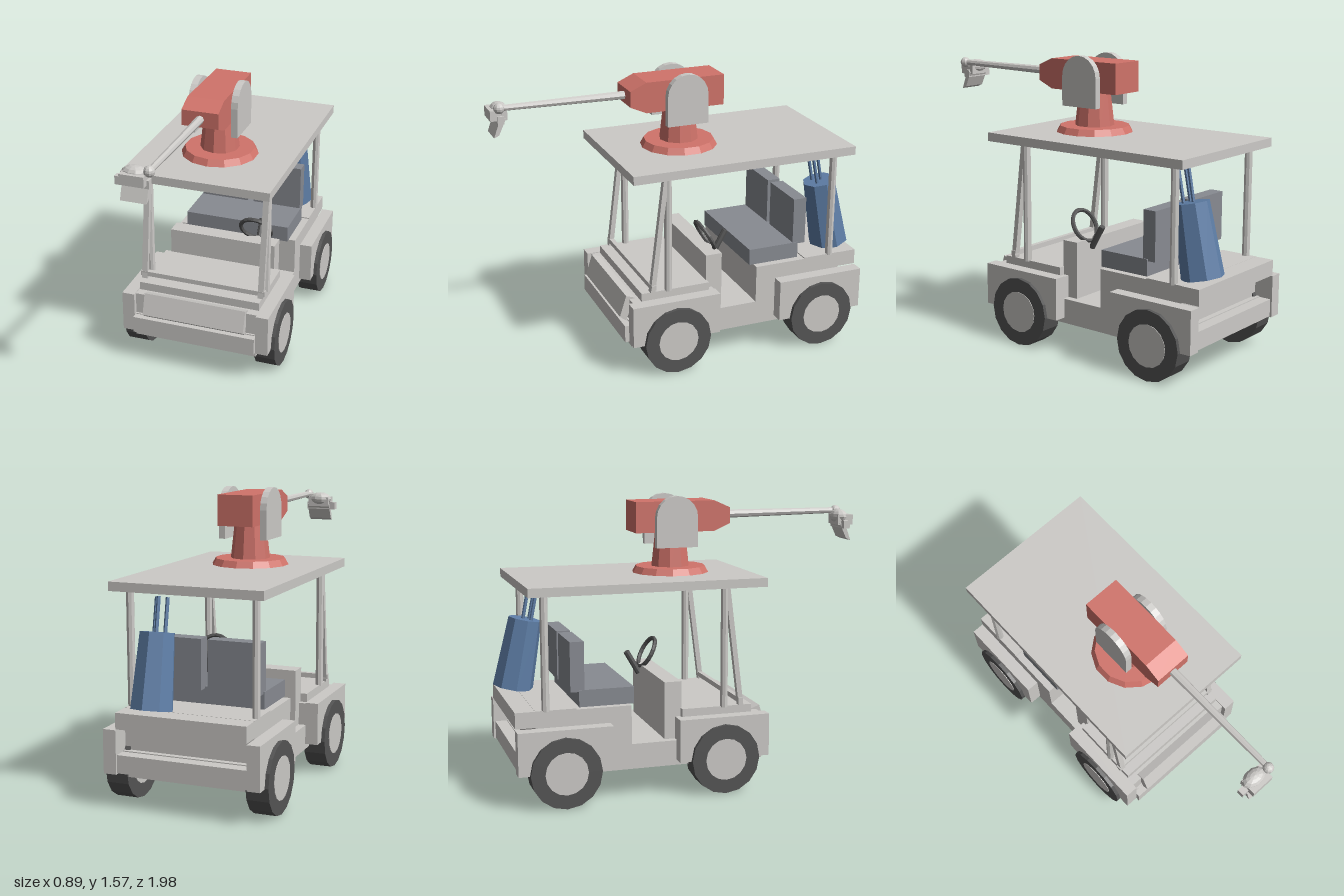
import * as THREE from 'three';

const paint = (name, color) => {
  const m = new THREE.MeshStandardMaterial({ color, flatShading: true });
  m.name = name;
  return m;
};

export function createModel() {
  const root = new THREE.Group();
  root.name = 'utilityCart';
  const body = paint('bodyGrey', 0xcccac7);
  const red = paint('turretRed', 0xd0736a);
  const blue = paint('tankBlue', 0x5f7fa8);
  const tyre = paint('tyreDark', 0x555555);
  const seat = paint('seatGrey', 0x888b92);

  const add = (name, geo, mat) => {
    const m = new THREE.Mesh(geo, mat);
    m.name = name;
    root.add(m);
    return m;
  };
  // Box given by its limits on each axis
  const box = (name, mat, x0, x1, y0, y1, z0, z1) => {
    const m = add(name, new THREE.BoxGeometry(x1 - x0, y1 - y0, z1 - z0), mat);
    m.position.set((x0 + x1) / 2, (y0 + y1) / 2, (z0 + z1) / 2);
    return m;
  };
  // Round bar between two points
  const rod = (name, mat, a, b, r0, r1 = r0, sides = 8) => {
    const p = new THREE.Vector3(...a), q = new THREE.Vector3(...b);
    const m = add(name, new THREE.CylinderGeometry(r1, r0, p.distanceTo(q), sides), mat);
    m.position.copy(p).add(q).multiplyScalar(0.5);
    m.quaternion.setFromUnitVectors(new THREE.Vector3(0, 1, 0), q.sub(p).normalize());
    return m;
  };
  // Side outline of [z, y] points extruded across x
  const slab = (name, mat, pts, x0, x1) => {
    const shape = new THREE.Shape(pts.map(([z, y]) => new THREE.Vector2(-z, y)));
    const geo = new THREE.ExtrudeGeometry(shape, { depth: x1 - x0, bevelEnabled: false });
    geo.rotateY(Math.PI / 2).translate(x0, 0, 0);
    return add(name, geo, mat);
  };

  // Chassis and body
  box('floor', body, -0.35, 0.35, 0.155, 0.29, -0.9, 0.37);
  box('frontBody', body, -0.35, 0.35, 0.28, 0.41, -0.11, 0.36);
  box('hood', body, -0.345, 0.345, 0.4, 0.456, -0.08, 0.31);
  box('dashboard', body, -0.31, 0.31, 0.28, 0.6, -0.168, -0.075);
  box('frontBumper', body, -0.35, 0.35, 0.19, 0.285, 0.36, 0.408);
  slab('frontPanel', body, [[0.38, 0.287], [0.415, 0.315], [0.378, 0.432], [0.33, 0.415]], -0.29, 0.29);
  box('seatBase', body, -0.35, 0.35, 0.28, 0.5, -0.66, -0.36);
  box('rearBody', body, -0.35, 0.35, 0.28, 0.506, -0.87, -0.655);
  box('tailgate', body, -0.35, 0.35, 0.42, 0.505, -0.974, -0.84);
  box('rearBumper', body, -0.35, 0.35, 0.19, 0.285, -0.965, -0.86);

  // Seats
  box('seatCushion', seat, -0.31, 0.31, 0.5, 0.59, -0.63, -0.335);
  box('seatBackRight', seat, -0.305, -0.02, 0.58, 0.845, -0.675, -0.6);
  box('seatBackLeft', seat, 0.016, 0.305, 0.58, 0.845, -0.675, -0.6);

  // Steering wheel and column
  const steering = add('steeringWheel', new THREE.TorusGeometry(0.088, 0.012, 6, 20), tyre);
  steering.position.set(0.185, 0.665, -0.122);
  steering.rotation.x = 0.5;
  rod('steeringColumn', tyre, [0.185, 0.55, -0.17], [0.185, 0.675, -0.242], 0.017);

  // Fenders, wheels and roof posts on both sides
  for (const s of [-1, 1]) {
    const side = s < 0 ? 'Right' : 'Left';
    const lo = Math.min(s * 0.35, s * 0.42), hi = Math.max(s * 0.35, s * 0.42);
    box('frontFender' + side, body, lo, hi, 0.185, 0.415, -0.115, 0.385);
    box('rearFender' + side, body, lo, hi, 0.185, 0.415, -0.975, -0.475);
    for (const [end, z] of [['front', 0.135], ['rear', -0.728]]) {
      const wheel = add(end + 'Tyre' + side, new THREE.CylinderGeometry(0.188, 0.188, 0.12, 16), tyre);
      wheel.rotation.set(0, 0, Math.PI / 2);
      wheel.position.set(s * 0.38, 0.188, z);
      const hub = add(end + 'Hub' + side, new THREE.CylinderGeometry(0.113, 0.113, 0.126, 16), body);
      hub.rotation.z = Math.PI / 2;
      hub.position.copy(wheel.position);
    }
    rod('frontPost' + side, body, [s * 0.337, 0.45, 0.156], [s * 0.337, 1.11, 0.156], 0.021);
    rod('rearPost' + side, body, [s * 0.337, 0.5, -0.813], [s * 0.337, 1.11, -0.813], 0.021);
    slab('windshieldPost' + side, body, [[0.262, 0.456], [0.235, 0.456], [0.155, 1.1], [0.182, 1.1]],
      s * 0.337 - 0.016, s * 0.337 + 0.016);
  }
  box('windshieldSill', body, -0.36, 0.36, 0.47, 0.497, 0.232, 0.258);
  box('windshieldHeader', body, -0.34, 0.34, 1.08, 1.105, 0.155, 0.182);

  // Roof
  box('roof', body, -0.41, 0.41, 1.1, 1.147, -0.905, 0.37);

  // Turret
  const ring = add('turretRing', new THREE.CylinderGeometry(0.19, 0.21, 0.035, 14), red);
  ring.position.set(0, 1.164, -0.04);
  const pedestal = add('turretPedestal', new THREE.CylinderGeometry(0.083, 0.108, 0.22, 10), red);
  pedestal.position.set(0, 1.28, -0.04);
  slab('turretBody', red, [[-0.26, 1.37], [0.18, 1.37], [0.27, 1.41], [0.27, 1.495], [0.18, 1.535], [-0.26, 1.535]],
    -0.1, 0.1);
  const arch = [[0.075, 1.29]];
  for (let i = 0; i <= 10; i++) {
    const a = Math.PI * i / 10;
    arch.push([-0.04 + 0.115 * Math.cos(a), 1.45 + 0.115 * Math.sin(a)]);
  }
  arch.push([-0.155, 1.29]);
  slab('sidePlateRight', body, arch, -0.137, -0.1);
  slab('sidePlateLeft', body, arch, 0.1, 0.137);

  // Long arm with a jointed sensor head
  rod('arm', body, [0, 1.452, 0.26], [0, 1.456, 0.94], 0.023, 0.016);
  const ball = (name, x, y, z, rx, ry, rz) => {
    const m = add(name, new THREE.SphereGeometry(1, 10, 8), body);
    m.position.set(x, y, z);
    m.scale.set(rx, ry, rz);
  };
  ball('armJoint', 0, 1.455, 0.94, 0.029, 0.029, 0.029);
  ball('headDome', -0.078, 1.428, 0.925, 0.07, 0.04, 0.045);
  box('headCrossBar', body, -0.174, 0, 1.367, 1.41, 0.915, 0.95);
  box('headBlock', body, -0.137, -0.012, 1.385, 1.44, 0.895, 0.985);
  slab('headPlate', body, [[0.972, 1.298], [0.945, 1.31], [0.905, 1.395], [0.932, 1.405]], -0.14, -0.005);

  // Leaning tank with thin pipes
  rod('tank', blue, [0.19, 0.515, -0.888], [0.19, 0.893, -0.812], 0.112, 0.092, 8);
  for (const [x, top, z] of [[0.16, 1.06, -0.75], [0.19, 1.07, -0.79], [0.22, 1.06, -0.75]]) {
    rod('tankPipe', blue, [x, 0.87, z - 0.038], [x, top, z], 0.01, 0.01, 6);
  }
  return root;
}
